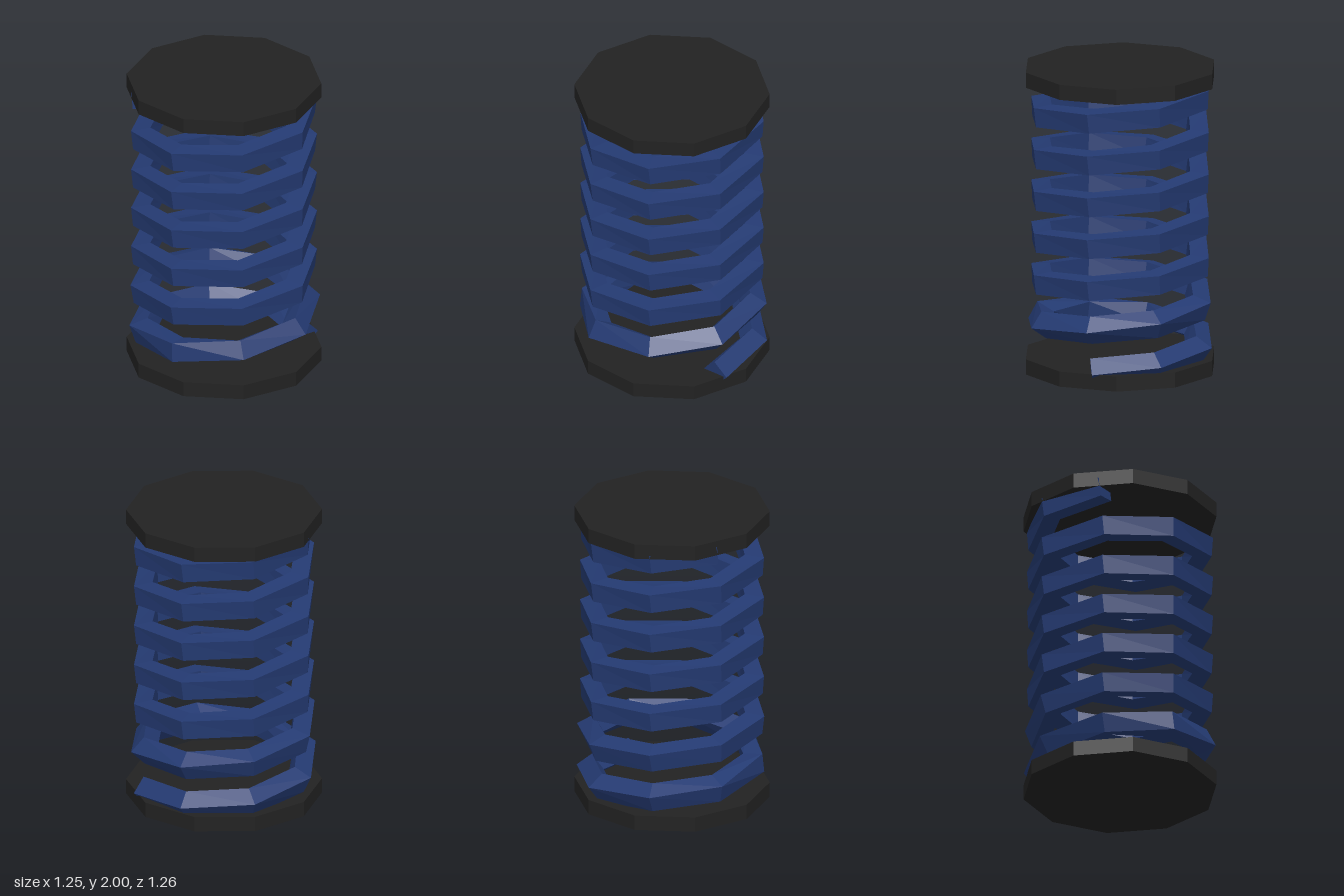
import * as THREE from 'three';

const TURNS = 6.5, STEPS = 8;            // eight straight links per turn
const COIL_RADIUS = 0.54, WIRE_RADIUS = 0.09;
const PLATE_RADIUS = 0.63, PLATE_HEIGHT = 0.1;

// Roll of the square wire (degrees) at each quarter turn; constant afterwards
const ROLL = [0, 10, 27, 72, 90, 115, 126, 130];

function rollAt(angle) {
  const q = Math.min(angle / (Math.PI / 2), ROLL.length - 1.001);
  const i = Math.floor(q);
  return THREE.MathUtils.degToRad(THREE.MathUtils.lerp(ROLL[i], ROLL[i + 1], q - i));
}

// Square section swept along an eight-sided helix, with capped ends
function coilGeometry() {
  const count = TURNS * STEPS;
  const slope = 1.8 / (TURNS * 2 * Math.PI * COIL_RADIUS);
  const positions = [], index = [];
  for (let i = 0; i <= count; i++) {
    const a = (i / STEPS) * Math.PI * 2;
    // The end sections stand square to their only link
    const n = a + (i === 0 ? Math.PI / STEPS : i === count ? -Math.PI / STEPS : 0);
    const centre = new THREE.Vector3(COIL_RADIUS * Math.cos(a), 0.1 + 1.8 * i / count, -COIL_RADIUS * Math.sin(a));
    const out = new THREE.Vector3(Math.cos(n), 0, -Math.sin(n));
    const along = new THREE.Vector3(-Math.sin(n), slope, -Math.cos(n)).normalize();
    const up = new THREE.Vector3().crossVectors(along, out).negate();
    if (up.y < 0) up.negate();
    for (let j = 0; j < 4; j++) {
      const t = rollAt(a) + j * Math.PI / 2;
      const p = centre.clone()
        .addScaledVector(out, WIRE_RADIUS * Math.cos(t))
        .addScaledVector(up, WIRE_RADIUS * Math.sin(t));
      positions.push(p.x, p.y, p.z);
      if (i < count) {
        const b = i * 4 + j, c = i * 4 + (j + 1) % 4;
        index.push(b, b + 4, c, c, b + 4, c + 4);
      }
    }
  }
  const e = count * 4;
  index.push(0, 1, 2, 0, 2, 3, e, e + 2, e + 1, e, e + 3, e + 2);
  const indexed = new THREE.BufferGeometry();
  indexed.setAttribute('position', new THREE.Float32BufferAttribute(positions, 3));
  indexed.setIndex(index);
  const geometry = indexed.toNonIndexed();
  geometry.computeVertexNormals();
  return geometry;
}

export function createModel() {
  const blue = new THREE.MeshStandardMaterial({ name: 'springBlue', color: 0x243a72, flatShading: true });
  const black = new THREE.MeshStandardMaterial({ name: 'plateBlack', color: 0x222222, flatShading: true });
  const group = new THREE.Group();
  group.name = 'coilSpring';

  const coil = new THREE.Mesh(coilGeometry(), blue);
  coil.name = 'coil';
  group.add(coil);

  // Ten-sided end plates
  for (const [name, y] of [['bottomPlate', PLATE_HEIGHT / 2], ['topPlate', 2 - PLATE_HEIGHT / 2]]) {
    const plate = new THREE.Mesh(new THREE.CylinderGeometry(PLATE_RADIUS, PLATE_RADIUS, PLATE_HEIGHT, 10), black);
    plate.name = name;
    plate.position.y = y;
    group.add(plate);
  }
  group.children.forEach((part) => { part.position.x = -0.005; });
  return group;
}
